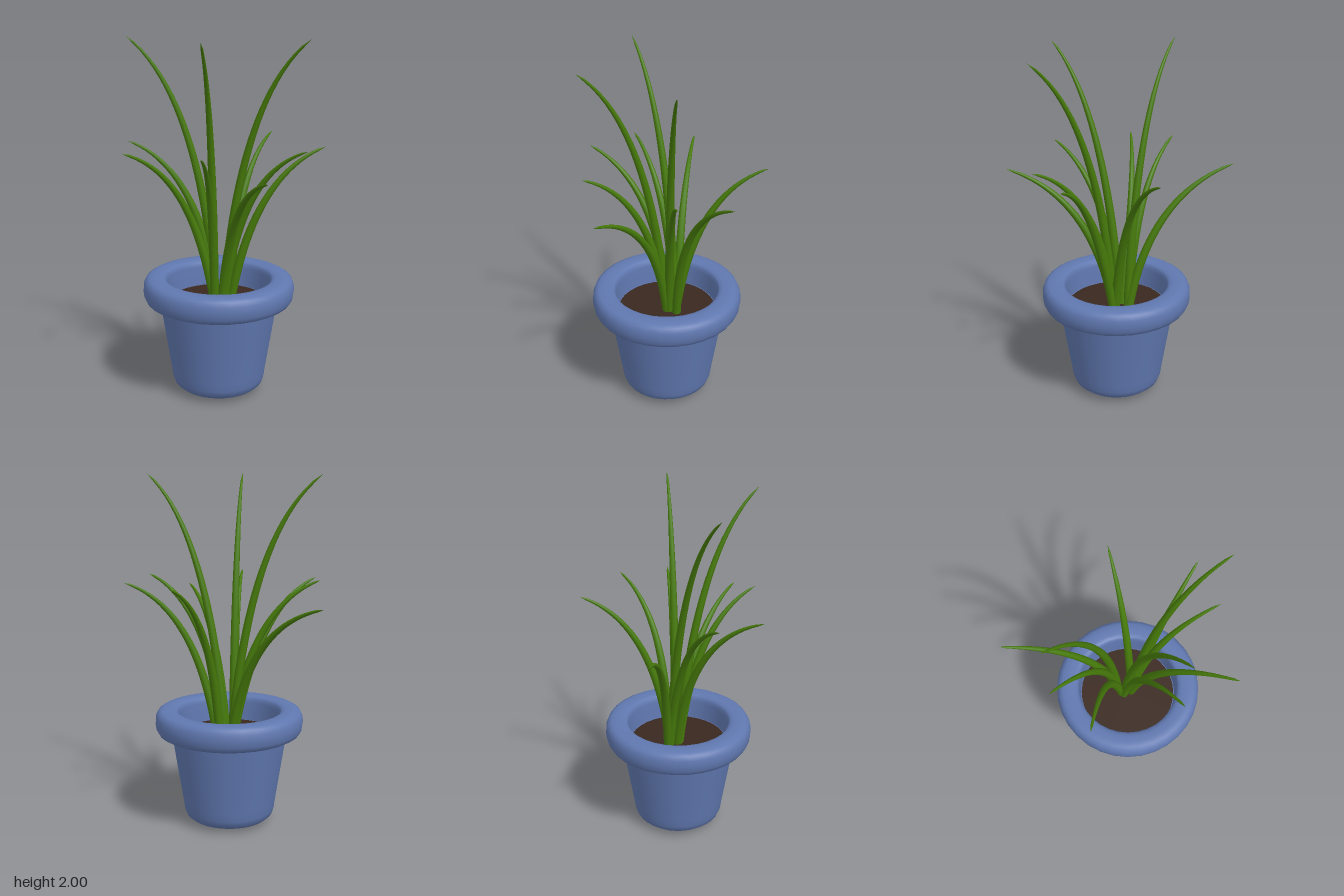
import * as THREE from 'three';

const SIDES = 32;
const CENTRE = [0.06, 0.04]; // pot axis in x, z
const SOIL_Y = 0.53;

const ceramic = new THREE.MeshStandardMaterial({ color: 0x6078b0, side: THREE.DoubleSide });
const earth = new THREE.MeshStandardMaterial({ color: 0x3a281f });
const green = new THREE.MeshStandardMaterial({ color: 0x467a0a });

// Lathe from [radius, y] pairs
function turned(name, profile, material) {
  const points = profile.map(([r, y]) => new THREE.Vector2(r, y));
  const mesh = new THREE.Mesh(new THREE.LatheGeometry(points, SIDES), material);
  mesh.name = name;
  return mesh;
}

// Tapered, arching blade: base [x, z], tip [x, y, z], optional control [x, z] for a sideways bend
function blade(name, base, tip, bend) {
  const [tx, ty, tz] = tip;
  const y0 = SOIL_Y - 0.03;
  const lift = ty > 1.8 ? 0.8 : 0.85;
  const ctrl = bend ?? [base[0] + (tx - base[0]) * 0.18, base[1] + (tz - base[1]) * 0.18];
  const curve = new THREE.QuadraticBezierCurve3(
    new THREE.Vector3(base[0], y0, base[1]),
    new THREE.Vector3(ctrl[0], y0 + (ty - y0) * lift, ctrl[1]),
    new THREE.Vector3(tx, ty, tz)
  );
  const rings = 28, around = 10;
  const geometry = new THREE.TubeGeometry(curve, rings, 1, around);
  const pos = geometry.attributes.position;
  const v = new THREE.Vector3();
  for (let i = 0; i <= rings; i++) {
    const t = i / rings;
    const centre = curve.getPointAt(t);
    // Slight swell low down, then a taper to a closed point
    const radius = i === rings ? 0 : 0.005 + 0.02 * (1 - t ** 2.2);
    for (let j = 0; j <= around; j++) {
      const k = i * (around + 1) + j;
      v.fromBufferAttribute(pos, k).sub(centre).multiplyScalar(radius).add(centre);
      pos.setXYZ(k, v.x, v.y, v.z);
    }
  }
  const mesh = new THREE.Mesh(geometry, green);
  mesh.name = name;
  return mesh;
}

export function createModel() {
  const model = new THREE.Group();
  model.name = 'pottedPlant';

  const pot = new THREE.Group();
  pot.name = 'pot';
  pot.position.set(CENTRE[0], 0, CENTRE[1]);

  // Tapered body with a rounded, slightly domed base
  pot.add(turned('potBody', [
    [0, 0.005], [0.12, 0.01], [0.18, 0.018], [0.225, 0.032], [0.25, 0.053], [0.262, 0.085],
    [0.268, 0.13], [0.29, 0.27], [0.312, 0.41], [0.332, 0.54]
  ], ceramic));

  // Thick rounded rim and the inner wall down to the soil
  pot.add(turned('potRim', [
    [0.28, 0.531], [0.36, 0.531], [0.385, 0.534], [0.407, 0.546], [0.42, 0.57], [0.425, 0.605],
    [0.422, 0.64], [0.41, 0.665], [0.39, 0.677], [0.36, 0.68], [0.325, 0.679], [0.305, 0.674],
    [0.295, 0.662], [0.291, 0.64], [0.287, 0.58], [0.282, 0.5]
  ], ceramic));

  const soil = new THREE.Mesh(new THREE.CircleGeometry(0.286, SIDES), earth);
  soil.name = 'soil';
  soil.rotation.x = -Math.PI / 2;
  soil.position.y = SOIL_Y;
  pot.add(soil);
  model.add(pot);

  const leaves = new THREE.Group();
  leaves.name = 'leaves';

  // Three directions each carry a tall leaf with a shorter one beneath it
  const paired = [
    [[0.02, -0.015], -0.435, 0.17],
    [[0.035, 0.04], 0.175, 0.495],
    [[0.085, 0.03], 0.575, 0.05]
  ];
  paired.forEach(([base, x, z], i) => {
    leaves.add(blade('tallLeaf' + (i + 1), base, [x, 2, z]));
    leaves.add(blade('underLeaf' + (i + 1), base, [x, 1.43, z]));
  });

  // Single short leaves, two of them bent sideways
  const singles = [
    [[0.1, -0.005], [0.155, 1.43, -0.495]],
    [[0.11, -0.01], [0.575, 1.41, -0.235], [0.24, 0.0]],
    [[0.02, -0.025], [-0.58, 1.33, -0.205]],
    [[0.03, 0.03], [-0.315, 1.41, 0.43], [-0.09, 0.06]],
    [[0.08, 0.04], [0.515, 1.33, 0.45]]
  ];
  singles.forEach(([base, tip, bend], i) => leaves.add(blade('shortLeaf' + (i + 1), base, tip, bend)));
  model.add(leaves);

  return model;
}
